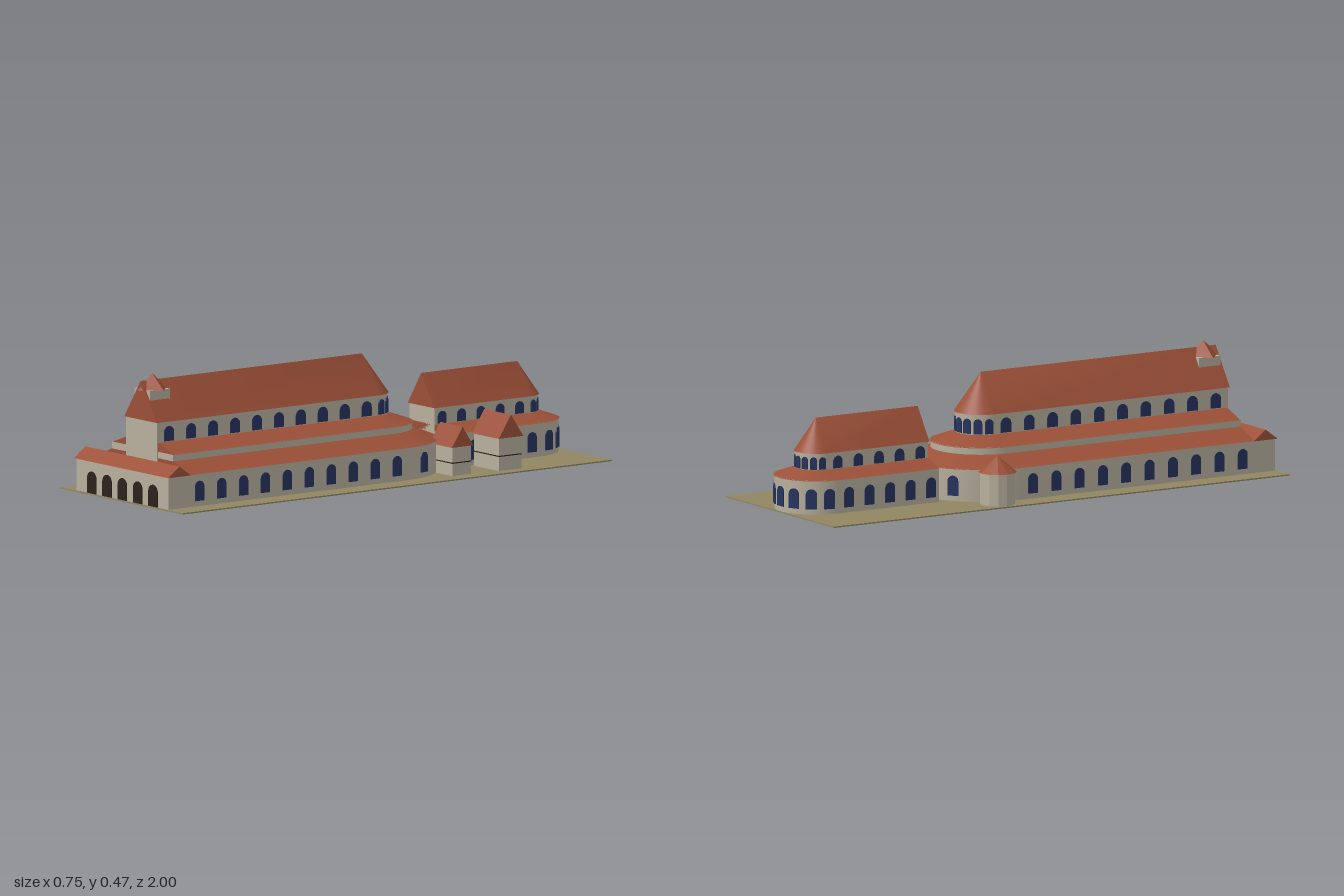
import * as THREE from 'three';
import { toCreasedNormals } from 'three/addons/utils/BufferGeometryUtils.js';

const mat = (color, extra = {}) => new THREE.MeshStandardMaterial({ color, ...extra });
const WALL = mat(0xb8b09e);
const ROOF = mat(0x9c5038);
const ROOF_FLAT = mat(0x9c5038, { flatShading: true });
const WALL_FLAT = mat(0xb8b09e, { flatShading: true });
const GLASS = mat(0x26335f);
const DOOR = mat(0x2c221c);
const GROUND = mat(0x908662);

function add(parent, name, geometry, material, x = 0, y = 0, z = 0, ry = 0) {
  const m = new THREE.Mesh(geometry, material);
  m.name = name;
  m.position.set(x, y, z);
  m.rotation.y = ry;
  parent.add(m);
  return m;
}

// Plan with a straight front at z0 and a round apse centred on zc
function plan(w, z0, zc) {
  const pts = [[w, z0]];
  const n = 24;
  for (let i = 0; i <= n; i++) {
    const t = (i / n) * Math.PI;
    pts.push([w * Math.cos(t), zc - w * Math.sin(t)]);
  }
  pts.push([-w, z0]);
  return pts;
}

// Skin joining that plan at successive [halfWidth, height] levels
function loft(levels, z0, zc) {
  const pos = [];
  for (let l = 0; l + 1 < levels.length; l++) {
    const [w0, y0] = levels[l], [w1, y1] = levels[l + 1];
    const lo = plan(w0, z0, zc), hi = plan(w1, z0, zc);
    for (let i = 0; i < lo.length; i++) {
      const j = (i + 1) % lo.length;
      const a = [lo[i][0], y0, lo[i][1]], b = [lo[j][0], y0, lo[j][1]];
      const c = [hi[j][0], y1, hi[j][1]], d = [hi[i][0], y1, hi[i][1]];
      if (w0 > 0) pos.push(...a, ...b, ...c);
      if (w1 > 0) pos.push(...a, ...c, ...d);
      else if (w0 > 0) pos.push(...a, ...c, ...d);
    }
  }
  const g = new THREE.BufferGeometry();
  g.setAttribute('position', new THREE.Float32BufferAttribute(pos, 3));
  return toCreasedNormals(g, 0.5);
}

// Round-headed panel, base at y = 0, standing slightly proud of z = 0
function arch(w, h) {
  const r = w / 2;
  const s = new THREE.Shape();
  s.moveTo(-r, 0);
  s.lineTo(r, 0);
  s.lineTo(r, h - r);
  s.absarc(0, h - r, r, 0, Math.PI, false);
  s.lineTo(-r, 0);
  const g = new THREE.ExtrudeGeometry(s, { depth: 0.009, bevelEnabled: false, curveSegments: 10 });
  return g.translate(0, 0, -0.006);
}

// Windows along both straight sides and around the apse
function windows(parent, name, o) {
  const g = new THREE.Group();
  g.name = name;
  const straight = arch(o.width, o.height);
  for (let i = 0; i < o.count; i++) {
    for (const s of [1, -1]) {
      add(g, 'sideWindow', straight, GLASS, s * o.r, o.y, o.start - i * o.step, s * Math.PI / 2);
    }
  }
  const curved = arch(o.apseWidth, o.height);
  for (let i = 0; i < o.apse; i++) {
    const t = ((i + 0.5) / o.apse) * Math.PI;
    add(g, 'apseWindow', curved, GLASS, o.r * Math.cos(t), o.y, o.zc - o.r * Math.sin(t), Math.PI / 2 + t);
  }
  parent.add(g);
}

// Gable roof with its ridge along x
function gable(length, depth, height) {
  const s = new THREE.Shape();
  s.moveTo(-depth / 2, 0);
  s.lineTo(depth / 2, 0);
  s.lineTo(0, height);
  s.closePath();
  const g = new THREE.ExtrudeGeometry(s, { depth: length, bevelEnabled: false });
  return g.translate(0, 0, -length / 2).rotateY(Math.PI / 2);
}

function box(parent, name, material, x0, x1, y0, y1, z0, z1) {
  const g = new THREE.BoxGeometry(x1 - x0, y1 - y0, z1 - z0);
  return add(parent, name, g, material, (x0 + x1) / 2, (y0 + y1) / 2, (z0 + z1) / 2);
}

export function createModel() {
  const model = new THREE.Group();
  model.name = 'basilica';
  const base = 0.002;
  box(model, 'ground', GROUND, -0.373, 0.373, 0, 0.005, -1, 1);

  // Main church: outer aisle, inner aisle and nave, each ending in an apse
  const church = new THREE.Group();
  church.name = 'mainChurch';
  model.add(church);
  const zc = -0.12;
  add(church, 'outerAisleWall', loft([[0.28, base], [0.28, 0.127]], 0.9, zc), WALL);
  add(church, 'outerAisleRoof', loft([[0, 0.125], [0.284, 0.125], [0.187, 0.165]], 0.9, zc), ROOF);
  add(church, 'innerAisleWall', loft([[0.186, 0.15], [0.186, 0.191]], 0.9, zc), WALL);
  add(church, 'innerAisleRoof', loft([[0, 0.189], [0.19, 0.189], [0.095, 0.222]], 0.9, zc), ROOF);
  add(church, 'naveWall', loft([[0.094, 0.15], [0.094, 0.3]], 0.905, zc), WALL);
  add(church, 'naveRoof', loft([[0, 0.298], [0.099, 0.298], [0, 0.443]], 0.91, zc), ROOF);
  windows(church, 'aisleWindows', {
    r: 0.28, y: 0.025, width: 0.042, height: 0.075, count: 10, start: 0.85, step: 0.1022,
    apse: 5, apseWidth: 0.042, zc,
  });
  windows(church, 'naveWindows', {
    r: 0.094, y: 0.225, width: 0.045, height: 0.056, count: 10, start: 0.85, step: 0.1022,
    apse: 7, apseWidth: 0.032, zc,
  });

  // Bell turret on the ridge, its roof turned to a diamond
  const turret = new THREE.Group();
  turret.name = 'bellTurret';
  model.add(turret);
  box(turret, 'turretWall', WALL, -0.047, 0.047, 0.37, 0.41, 0.808, 0.902);
  add(turret, 'turretRoof', new THREE.ConeGeometry(0.07, 0.058, 4), ROOF_FLAT, 0, 0.437, 0.855);

  // Entrance porch with five arches
  const porch = new THREE.Group();
  porch.name = 'porch';
  model.add(porch);
  box(porch, 'porchWall', WALL, -0.28, 0.28, base, 0.127, 0.895, 0.993);
  add(porch, 'porchRoof', gable(0.574, 0.105, 0.039), ROOF, 0, 0.125, 0.9475);
  const doorway = arch(0.055, 0.085);
  for (let i = -2; i <= 2; i++) add(porch, 'doorway', doorway, DOOR, i * 0.0933, base, 0.993);

  // Rear chapel: aisle and nave with apses
  const chapel = new THREE.Group();
  chapel.name = 'rearChapel';
  model.add(chapel);
  const zk = -0.843;
  add(chapel, 'chapelAisleWall', loft([[0.153, base], [0.153, 0.132]], -0.4, zk), WALL);
  add(chapel, 'chapelAisleRoof', loft([[0, 0.13], [0.157, 0.13], [0.077, 0.158]], -0.4, zk), ROOF);
  add(chapel, 'chapelNaveWall', loft([[0.076, 0.12], [0.076, 0.222]], -0.4, zk), WALL);
  add(chapel, 'chapelNaveRoof', loft([[0, 0.22], [0.081, 0.22], [0, 0.342]], -0.396, zk), ROOF);
  windows(chapel, 'chapelAisleWindows', {
    r: 0.153, y: 0.025, width: 0.042, height: 0.075, count: 5, start: -0.435, step: 0.09,
    apse: 7, apseWidth: 0.042, zc: zk,
  });
  windows(chapel, 'chapelNaveWindows', {
    r: 0.076, y: 0.16, width: 0.04, height: 0.046, count: 5, start: -0.435, step: 0.09,
    apse: 7, apseWidth: 0.026, zc: zk,
  });

  // Two small gabled annexes on the left side
  const annexes = [
    { name: 'rearAnnex', x0: 0.172, x1: 0.325, z0: -0.614, z1: -0.511, eave: 0.127, rise: 0.085, band: 0.06 },
    { name: 'frontAnnex', x0: 0.185, x1: 0.31, z0: -0.392, z1: -0.305, eave: 0.112, rise: 0.075, band: 0.053 },
  ];
  for (const a of annexes) {
    const g = new THREE.Group();
    g.name = a.name;
    model.add(g);
    box(g, 'annexWall', WALL, a.x0, a.x1, base, a.eave + 0.002, a.z0, a.z1);
    box(g, 'stringCourse', DOOR, a.x0 - 0.001, a.x1 + 0.001, a.band - 0.002, a.band + 0.002, a.z0 - 0.001, a.z1 + 0.001);
    add(g, 'annexRoof', gable(a.x1 - a.x0 + 0.01, a.z1 - a.z0 + 0.012, a.rise), ROOF,
      (a.x0 + a.x1) / 2, a.eave, (a.z0 + a.z1) / 2);
  }

  // Round baptistery on the right side
  const baptistery = new THREE.Group();
  baptistery.name = 'baptistery';
  model.add(baptistery);
  add(baptistery, 'baptisteryWall', new THREE.CylinderGeometry(0.065, 0.065, 0.125, 12), WALL_FLAT, -0.3, base + 0.0625, -0.237);
  add(baptistery, 'baptisteryRoof', new THREE.ConeGeometry(0.072, 0.062, 12), ROOF_FLAT, -0.3, 0.156, -0.237);

  return model;
}
